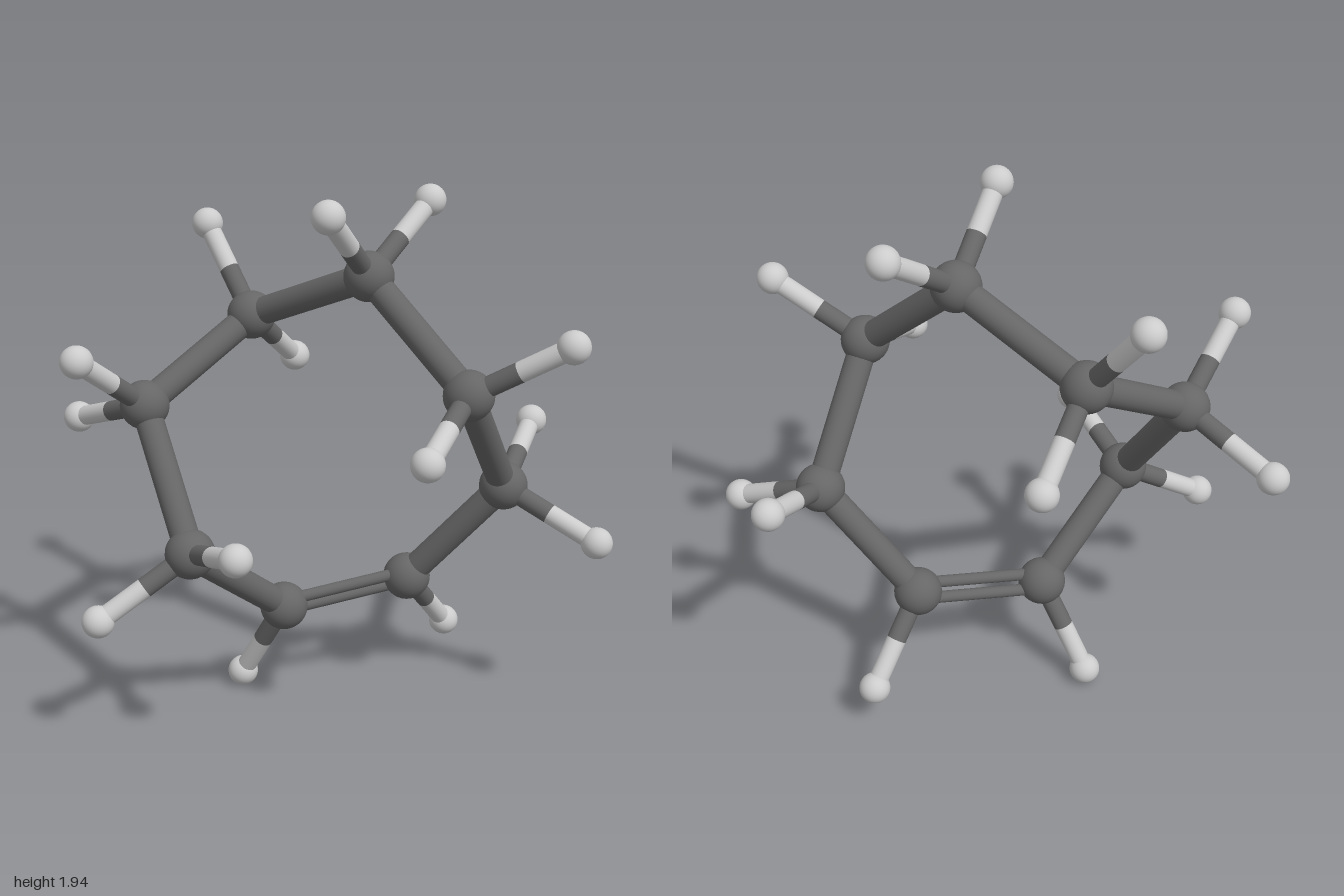
import * as THREE from 'three';

const V = (p) => new THREE.Vector3(...p);

// Ring atoms in order, each with its attached outer atoms
const RING = [
  { at: [-0.18, 0.39, -0.04], outer: [[-0.345, 0.06, -0.17]] },
  { at: [0.28, 0.455, -0.17], outer: [[0.44, 0.176, -0.385]] },
  { at: [0.62, 0.855, -0.065], outer: [[0.757, 1.0, -0.405], [0.94, 0.697, 0.105]] },
  { at: [0.457, 1.283, 0.245], outer: [[0.783, 1.476, 0.35], [0.303, 1.15, 0.575]] },
  { at: [0.125, 1.637, 0], outer: [[-0.013, 1.884, 0.27], [0.345, 1.86, -0.245]] },
  { at: [-0.297, 1.433, -0.3], outer: [[-0.463, 1.738, -0.478], [-0.147, 1.208, -0.578]] },
  { at: [-0.665, 1.17, -0.028], outer: [[-0.853, 1.394, 0.23], [-0.944, 1.048, -0.285]] },
  { at: [-0.493, 0.713, 0.248], outer: [[-0.805, 0.508, 0.362], [-0.313, 0.823, 0.575]] },
];
const RING_R = 0.088, OUTER_R = 0.057;
const BOND_R = 0.051, THIN_R = 0.036, DOUBLE_R = 0.022, DOUBLE_OFFSET = 0.029;

export function createModel() {
  const model = new THREE.Group();
  model.name = 'moleculeModel';
  const dark = new THREE.MeshStandardMaterial({ color: 0x666666 });
  const light = new THREE.MeshStandardMaterial({ color: 0xcccccc });

  function ball(name, pos, radius, material) {
    const mesh = new THREE.Mesh(new THREE.SphereGeometry(radius, 32, 20), material);
    mesh.name = name;
    mesh.position.copy(pos);
    model.add(mesh);
  }

  // Straight rod between two points
  function rod(name, a, b, radius, material) {
    const dir = b.clone().sub(a);
    const mesh = new THREE.Mesh(new THREE.CylinderGeometry(radius, radius, dir.length(), 24), material);
    mesh.name = name;
    mesh.position.copy(a).lerp(b, 0.5);
    mesh.quaternion.setFromUnitVectors(new THREE.Vector3(0, 1, 0), dir.normalize());
    model.add(mesh);
  }

  RING.forEach(({ at, outer }, i) => {
    const a = V(at);
    const b = V(RING[(i + 1) % RING.length].at);
    ball('ringAtom', a, RING_R, dark);

    if (i === 0) {
      // Double bond: two thin rods, set apart in the plane of the outer atom
      const along = b.clone().sub(a).normalize();
      const side = V(outer[0]).sub(a);
      side.addScaledVector(along, -side.dot(along)).setLength(DOUBLE_OFFSET);
      for (const s of [-1, 1]) {
        rod('doubleBondRod', a.clone().addScaledVector(side, s), b.clone().addScaledVector(side, s), DOUBLE_R, dark);
      }
    } else {
      rod('ringBond', a, b, BOND_R, dark);
    }

    // Outer atoms on two-tone rods
    for (const p of outer) {
      const end = V(p);
      const mid = a.clone().lerp(end, 0.5);
      rod('outerBondInnerHalf', a, mid, THIN_R, dark);
      rod('outerBondOuterHalf', mid, end, THIN_R, light);
      ball('outerAtom', end, OUTER_R, light);
    }
  });
  return model;
}
